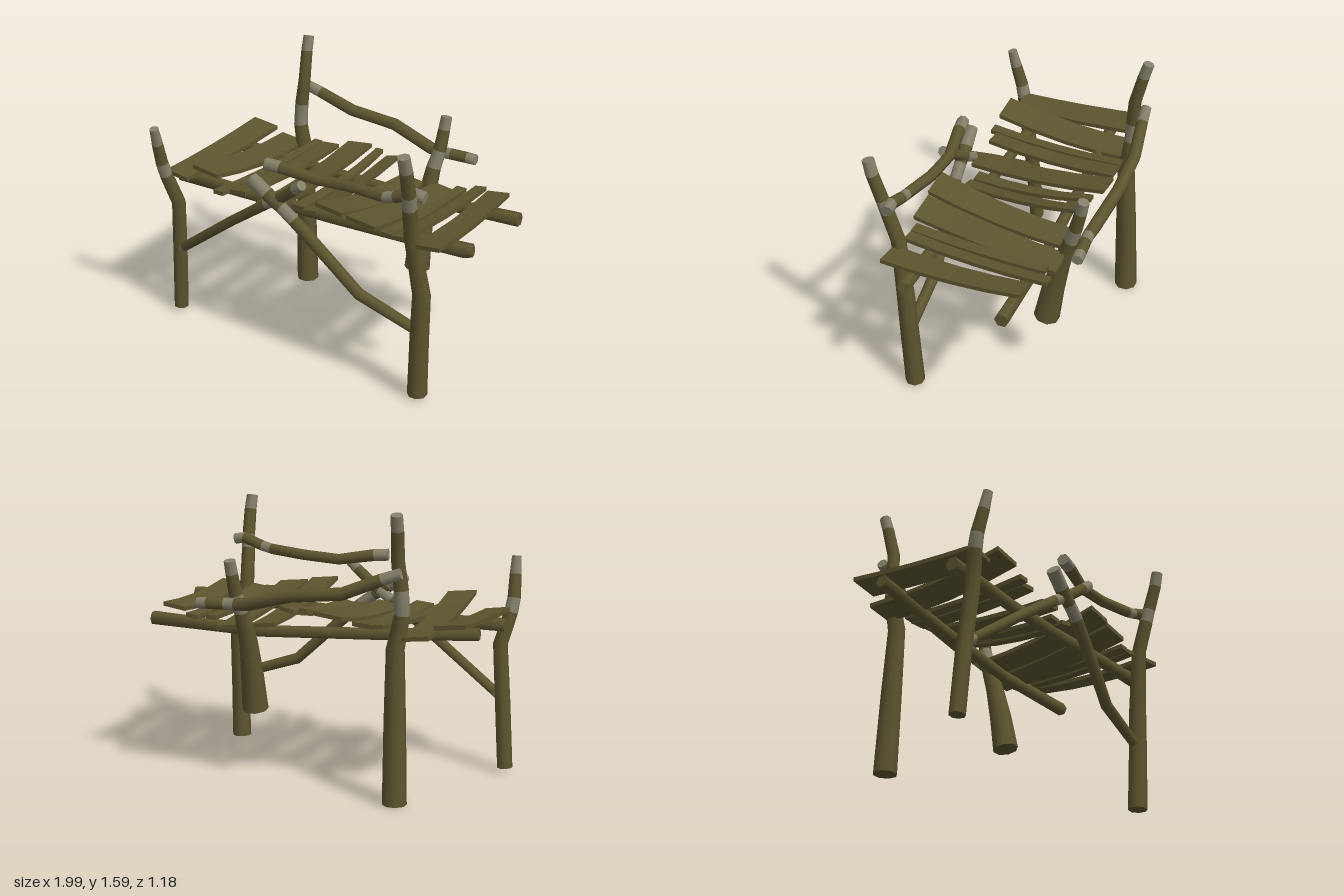
import * as THREE from 'three';

const wood = new THREE.MeshStandardMaterial({ color: 0x5c552f });
wood.name = 'bark brown';
const pale = new THREE.MeshStandardMaterial({ color: 0x85806a });
pale.name = 'pale bare wood';

// Crooked branch through points [x, y, z, radius, paleFromHere]
function limb(name, pts, sides = 8) {
  const c = pts.map(p => new THREE.Vector3(p[0], p[1], p[2]));
  const n = c.length;
  const whole = c[n - 1].clone().sub(c[0]).normalize();
  const ref = Math.abs(whole.y) > 0.8 ? new THREE.Vector3(0, 0, 1) : new THREE.Vector3(0, 1, 0);
  const pos = [], index = [];
  const geo = new THREE.BufferGeometry();
  const ring = i => {
    const t = c[Math.min(i + 1, n - 1)].clone().sub(c[Math.max(i - 1, 0)]).normalize();
    const u = ref.clone().addScaledVector(t, -ref.dot(t)).normalize();
    const v = t.clone().cross(u);
    for (let a = 0; a < sides; a++) {
      const w = (a + 0.5) / sides * Math.PI * 2;
      const p = c[i].clone()
        .addScaledVector(u, Math.cos(w) * pts[i][3])
        .addScaledVector(v, Math.sin(w) * pts[i][3]);
      pos.push(p.x, p.y, p.z);
    }
  };
  const addGroup = (start, bare) => geo.addGroup(start, index.length - start, bare ? 1 : 0);
  for (let i = 0; i < n; i++) ring(i);
  for (let i = 0; i < n - 1; i++) {
    const start = index.length;
    for (let a = 0; a < sides; a++) {
      const b = (a + 1) % sides, p = i * sides, q = p + sides;
      index.push(p + a, p + b, q + b, p + a, q + b, q + a);
    }
    addGroup(start, pts[i][4]);
  }
  // Flat cut ends with their own vertices
  for (const i of [0, n - 1]) {
    const start = index.length, base = pos.length / 3;
    ring(i);
    for (let a = 1; a < sides - 1; a++) {
      if (i) index.push(base, base + a, base + a + 1);
      else index.push(base, base + a + 1, base + a);
    }
    addGroup(start, pts[i ? n - 2 : 0][4]);
  }
  geo.setAttribute('position', new THREE.Float32BufferAttribute(pos, 3));
  geo.setIndex(index);
  geo.computeVertexNormals();
  const mesh = new THREE.Mesh(geo, [wood, pale]);
  mesh.name = name;
  return mesh;
}

// Warped board: x at back left, back right, front left, front right,
// z at back and front, heights at back, middle and front, and sideways roll
function board([bl, br, fl, fr, zb, zf, yb, ym, yf, roll]) {
  const g = new THREE.BoxGeometry(1, 0.024, 1, 1, 1, 4);
  const p = g.attributes.position;
  for (let i = 0; i < p.count; i++) {
    const s = p.getX(i) + 0.5, t = p.getZ(i) + 0.5;
    const y = yb * (1 - t) * (1 - 2 * t) + ym * 4 * t * (1 - t) + yf * t * (2 * t - 1);
    const x = THREE.MathUtils.lerp(bl + (br - bl) * s, fl + (fr - fl) * s, t);
    p.setXYZ(i, x, y + p.getY(i) + (s - 0.5) * roll, zb + (zf - zb) * t);
  }
  const flat = g.toNonIndexed();
  flat.computeVertexNormals();
  return new THREE.Mesh(flat, wood);
}

export function createModel() {
  const model = new THREE.Group();
  model.name = 'rusticPlatform';

  // Four crooked posts
  model.add(
    limb('frontRightPost', [
      [-0.957, 0.025, 0.325, 0.044], [-0.93, 0.4, 0.34, 0.044], [-0.9, 0.74, 0.365, 0.042],
      [-0.945, 0.92, 0.41, 0.04, 1], [-0.955, 1.0, 0.43, 0.038], [-0.95, 1.13, 0.465, 0.034, 1],
      [-0.947, 1.23, 0.49, 0.027]]),
    limb('backRightPost', [
      [-0.56, 0, -0.44, 0.067], [-0.552, 0.45, -0.425, 0.06], [-0.545, 0.85, -0.41, 0.05],
      [-0.585, 1.04, -0.42, 0.042, 1], [-0.58, 1.17, -0.425, 0.04], [-0.565, 1.32, -0.435, 0.036],
      [-0.574, 1.49, -0.475, 0.034, 1], [-0.577, 1.575, -0.5, 0.032]]),
    limb('backLeftPost', [
      [0.335, 0.395, -0.28, 0.074], [0.335, 0.6, -0.315, 0.064], [0.335, 0.8, -0.36, 0.052],
      [0.345, 0.98, -0.42, 0.042, 1], [0.365, 1.08, -0.45, 0.038], [0.372, 1.2, -0.48, 0.034, 1],
      [0.377, 1.275, -0.495, 0.032]]),
    limb('frontLeftPost', [
      [0.735, 0.015, 0.36, 0.056], [0.745, 0.35, 0.37, 0.053], [0.755, 0.64, 0.375, 0.05],
      [0.715, 0.98, 0.42, 0.042], [0.728, 1.17, 0.47, 0.04, 1], [0.735, 1.25, 0.49, 0.038],
      [0.742, 1.4, 0.535, 0.036, 1], [0.738, 1.485, 0.555, 0.034]]),
  );

  // Bearers under the boards
  model.add(
    limb('frontBearer', [
      [-0.95, 0.875, 0.27, 0.04], [-0.4, 0.87, 0.26, 0.035], [0.1, 0.875, 0.265, 0.035],
      [0.6, 0.895, 0.27, 0.037], [0.94, 0.91, 0.265, 0.042], [0.985, 0.915, 0.255, 0.036]], 6),
    limb('backBearer', [
      [-0.94, 0.92, -0.2, 0.037], [-0.4, 0.88, -0.23, 0.034], [0.3, 0.845, -0.27, 0.034],
      [0.97, 0.87, -0.29, 0.04]], 6),
  );

  // Crossed braces on the front
  model.add(
    limb('rightBrace', [
      [-0.95, 0.4, 0.335, 0.028, 1], [-0.88, 0.455, 0.36, 0.029], [-0.48, 0.75, 0.4, 0.03],
      [-0.22, 0.93, 0.42, 0.032, 1], [-0.14, 0.98, 0.43, 0.032], [0.01, 1.09, 0.465, 0.032, 1],
      [0.06, 1.13, 0.475, 0.03]], 7),
    limb('leftBrace', [
      [-0.29, 1.08, 0.46, 0.04, 1], [-0.19, 1.01, 0.45, 0.04], [-0.1, 0.95, 0.445, 0.036, 1],
      [-0.02, 0.89, 0.44, 0.036], [0.2, 0.69, 0.41, 0.034], [0.37, 0.53, 0.385, 0.034],
      [0.73, 0.41, 0.365, 0.03]], 7),
  );

  // Bent hand rails
  model.add(
    limb('frontRail', [
      [-0.185, 1.19, 0.46, 0.036, 1], [-0.1, 1.185, 0.445, 0.036], [0.11, 1.152, 0.405, 0.032],
      [0.34, 1.165, 0.405, 0.032], [0.56, 1.18, 0.44, 0.032, 1], [0.62, 1.195, 0.44, 0.032],
      [0.74, 1.24, 0.435, 0.034, 1], [0.795, 1.23, 0.43, 0.034]], 7),
    limb('backRail', [
      [-0.6, 1.27, -0.49, 0.032, 1], [-0.5, 1.235, -0.505, 0.034], [-0.29, 1.15, -0.54, 0.036],
      [0, 1.12, -0.555, 0.036], [0.27, 1.045, -0.52, 0.036], [0.34, 1.04, -0.515, 0.034, 1],
      [0.4, 1.04, -0.52, 0.034], [0.5, 1.038, -0.53, 0.034, 1], [0.555, 1.035, -0.535, 0.032]], 7),
  );

  // Uneven deck boards; split ones are two pieces meeting at a crack
  const boards = [
    [[-0.925, -0.755, -0.945, -0.8, -0.41, 0.4, 0.99, 0.95, 0.93, -0.02]],
    [[-0.74, -0.57, -0.74, -0.57, -0.445, 0.41, 0.92, 0.935, 1.01, -0.02]],
    [[-0.475, -0.42, -0.575, -0.51, -0.41, 0.44, 0.96, 0.92, 0.92, 0],
      [-0.42, -0.3, -0.49, -0.385, -0.41, 0.395, 0.96, 0.92, 0.93, 0.01]],
    [[-0.25, -0.085, -0.305, -0.15, -0.435, 0.4, 1.0, 0.93, 0.91, 0.02]],
    [[-0.03, 0.015, -0.11, -0.03, -0.4, 0.33, 1.01, 0.93, 0.91, 0],
      [0.055, 0.14, -0.03, 0.06, -0.375, 0.35, 1.0, 0.93, 0.91, 0.02]],
    [[0.175, 0.32, 0.13, 0.3, -0.365, 0.45, 0.9, 0.93, 1.02, -0.02]],
    [[0.37, 0.515, 0.32, 0.5, -0.4, 0.44, 0.88, 0.92, 0.99, -0.02]],
    [[0.53, 0.59, 0.515, 0.585, -0.37, 0.415, 0.92, 0.92, 0.95, 0],
      [0.62, 0.69, 0.585, 0.665, -0.42, 0.415, 0.93, 0.92, 0.95, 0.01]],
    [[0.735, 0.87, 0.73, 0.89, -0.35, 0.44, 0.96, 0.935, 0.955, 0.02]],
  ];
  const deck = new THREE.Group();
  deck.name = 'deck';
  boards.forEach((pieces, i) => {
    const plank = new THREE.Group();
    plank.name = 'board' + (i + 1);
    for (const piece of pieces) plank.add(board(piece));
    deck.add(plank);
  });
  model.add(deck);
  return model;
}
